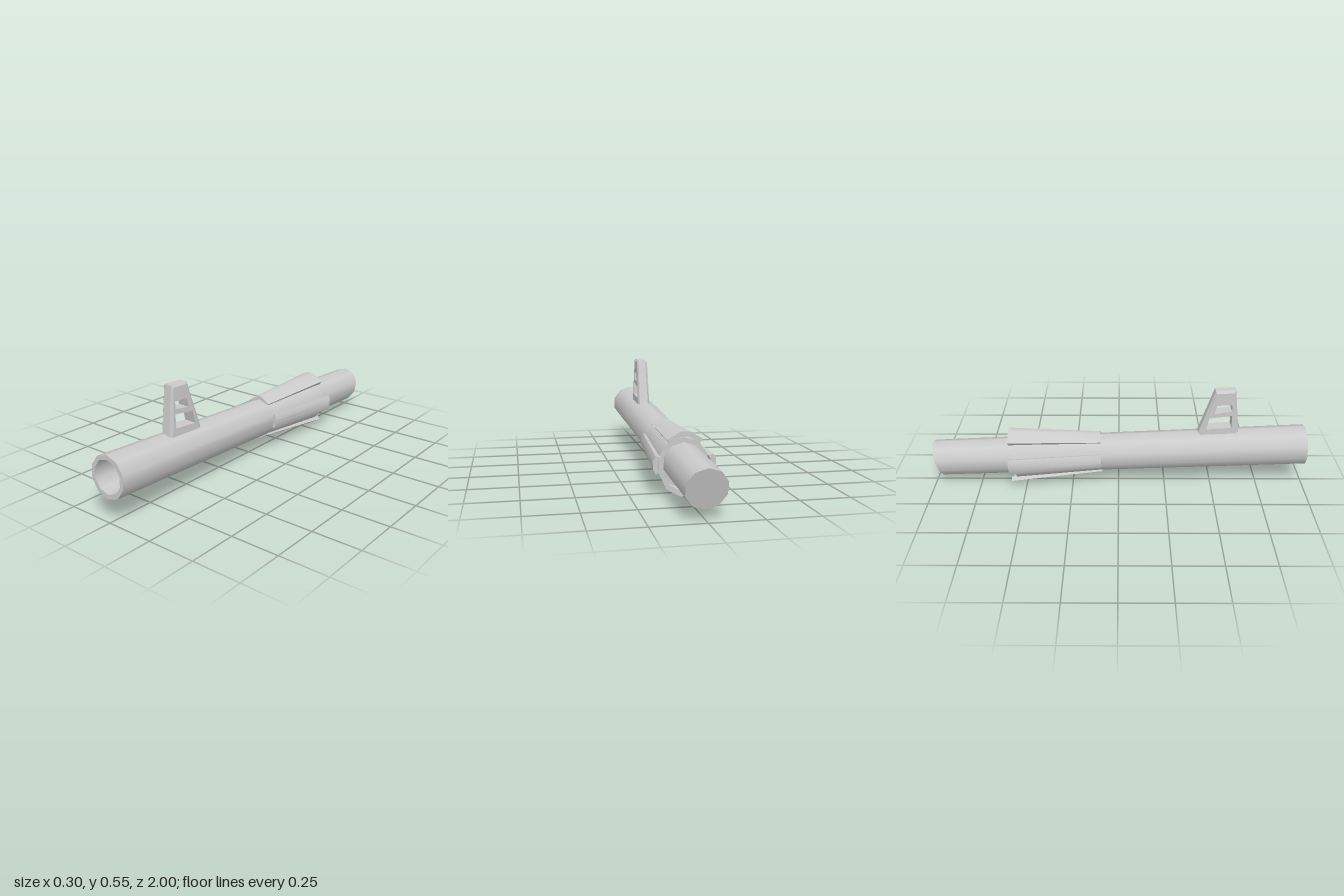
import * as THREE from 'three';
import { toCreasedNormals } from 'three/addons/utils/BufferGeometryUtils.js';

const grey = new THREE.MeshStandardMaterial({ color: 0xcccccc });
const greyDouble = new THREE.MeshStandardMaterial({ color: 0xcccccc, side: THREE.DoubleSide });
const greyInside = new THREE.MeshStandardMaterial({ color: 0xcccccc, side: THREE.BackSide });

const FRONT = 0.997, BACK = -0.975, SIDES = 10;

function add(parent, name, geometry, material = grey) {
  const mesh = new THREE.Mesh(geometry, material);
  mesh.name = name;
  parent.add(mesh);
}

// Move every vertex of a geometry by a rule
function warp(geometry, rule) {
  const p = geometry.attributes.position;
  const v = new THREE.Vector3();
  for (let i = 0; i < p.count; i++) {
    rule(v.fromBufferAttribute(p, i));
    p.setXYZ(i, v.x, v.y, v.z);
  }
  return geometry;
}

// Ten-sided frustum along z
function frustum(rFront, rBack, zFront, zBack, open) {
  return new THREE.CylinderGeometry(rFront, rBack, zFront - zBack, SIDES, 1, open)
    .rotateX(Math.PI / 2).translate(0, 0, (zFront + zBack) / 2);
}

// Slanted cut at the rear end
const slant = (v) => { if (v.z < -0.9) v.z = BACK - 0.247 * v.y; };

// Curved plate that flares outward and widens toward the rear
function plate(halfFront, halfBack, rFront, rBack, edgeDrop) {
  const g = warp(new THREE.BoxGeometry(1, 1, 1, 3, 1, 1), (v) => {
    const t = 0.5 - v.z;
    const edge = Math.abs(v.x) > 0.4;
    const mid = THREE.MathUtils.lerp(0.06, 0.14, t);
    const a = Math.sign(v.x) * (edge ? THREE.MathUtils.lerp(halfFront, halfBack, t) : mid);
    let r = THREE.MathUtils.lerp(rFront, rBack, t) - (edge ? edgeDrop : 0);
    if (v.y < 0) r -= THREE.MathUtils.lerp(0.018, 0.025, t);
    v.set(r * Math.sin(a), r * Math.cos(a), THREE.MathUtils.lerp(-0.092, -0.582, t));
  });
  return toCreasedNormals(g, 0.7);
}

// Sight: pierced plate framed by a chamfered rim
function makeSight() {
  const sight = new THREE.Group();
  sight.name = 'sight';
  const outer = [[0.637, 0.29], [0.607, 0.548], [0.502, 0.543], [0.42, 0.29]];
  const inset = [[0.62, 0.29], [0.597, 0.536], [0.508, 0.532], [0.437, 0.29]];
  const windows = [
    [[0.592, 0.43], [0.592, 0.468], [0.513, 0.464], [0.503, 0.417]],
    [[0.595, 0.335], [0.595, 0.405], [0.477, 0.39], [0.463, 0.324]],
  ];
  const points = (list) => list.map(([z, y]) => new THREE.Vector2(z, y));
  // The left face leans outward toward the base
  const lean = (v) => { if (v.x > 0) v.x += 0.008 * (0.54 - v.y) / 0.25; };

  const shape = new THREE.Shape(points(inset));
  shape.holes = windows.map((w) => new THREE.Path(points(w)));
  const panel = new THREE.ExtrudeGeometry(shape, { depth: 0.06, bevelEnabled: false })
    .translate(0, 0, -0.032).rotateY(-Math.PI / 2);
  warp(panel, lean).computeVertexNormals();
  add(sight, 'sightPanel', panel);

  const sections = [[inset, 0.032], [outer, 0.024], [outer, -0.016], [inset, -0.028]];
  const pos = [];
  for (let s = 0; s < 3; s++) {
    for (let i = 0; i < 3; i++) {
      const corner = (k, j) => [sections[k][1], sections[k][0][j][1], sections[k][0][j][0]];
      const a = corner(s, i), b = corner(s, i + 1), c = corner(s + 1, i + 1), d = corner(s + 1, i);
      pos.push(...a, ...b, ...c, ...a, ...c, ...d);
    }
  }
  const rim = new THREE.BufferGeometry();
  rim.setAttribute('position', new THREE.Float32BufferAttribute(pos, 3));
  warp(rim, lean).computeVertexNormals();
  add(sight, 'sightRim', rim, greyDouble);
  return sight;
}

export function createModel() {
  const model = new THREE.Group();
  model.name = 'launchTube';

  // Everything on the barrel axis is tilted slightly, front end up
  const barrel = new THREE.Group();
  barrel.name = 'barrel';
  barrel.position.y = 0.178;
  barrel.rotation.x = -0.0445;
  model.add(barrel);

  // Hollow tube with a muzzle rim and a slanted, closed rear
  add(barrel, 'outerTube', warp(frustum(0.106, 0.096, FRONT, BACK, true), slant));
  add(barrel, 'bore', warp(frustum(0.084, 0.0955, FRONT, BACK, true), slant), greyInside);
  add(barrel, 'muzzleRim',
    new THREE.RingGeometry(0.084, 0.106, SIDES, 1, Math.PI / 2).translate(0, 0, FRONT));
  const cap = new THREE.CircleGeometry(0.096, SIDES, Math.PI / 2).translate(0, 0, BACK);
  warp(cap, slant).computeVertexNormals();
  add(barrel, 'rearCap', cap, greyDouble);

  // Flared sleeve and the four plates around it
  add(barrel, 'sleeve', frustum(0.1, 0.122, -0.1, -0.555, false));
  for (let i = 0; i < 4; i++) {
    const side = i % 2 === 1;
    const g = side ? plate(0.35, 0.31, 0.12, 0.15, 0.006) : plate(0.62, 0.63, 0.12, 0.156, 0.011);
    add(barrel, ['topPlate', 'leftPlate', 'bottomPlate', 'rightPlate'][i], g.rotateZ(-i * Math.PI / 2));
  }

  model.add(makeSight());
  return model;
}
